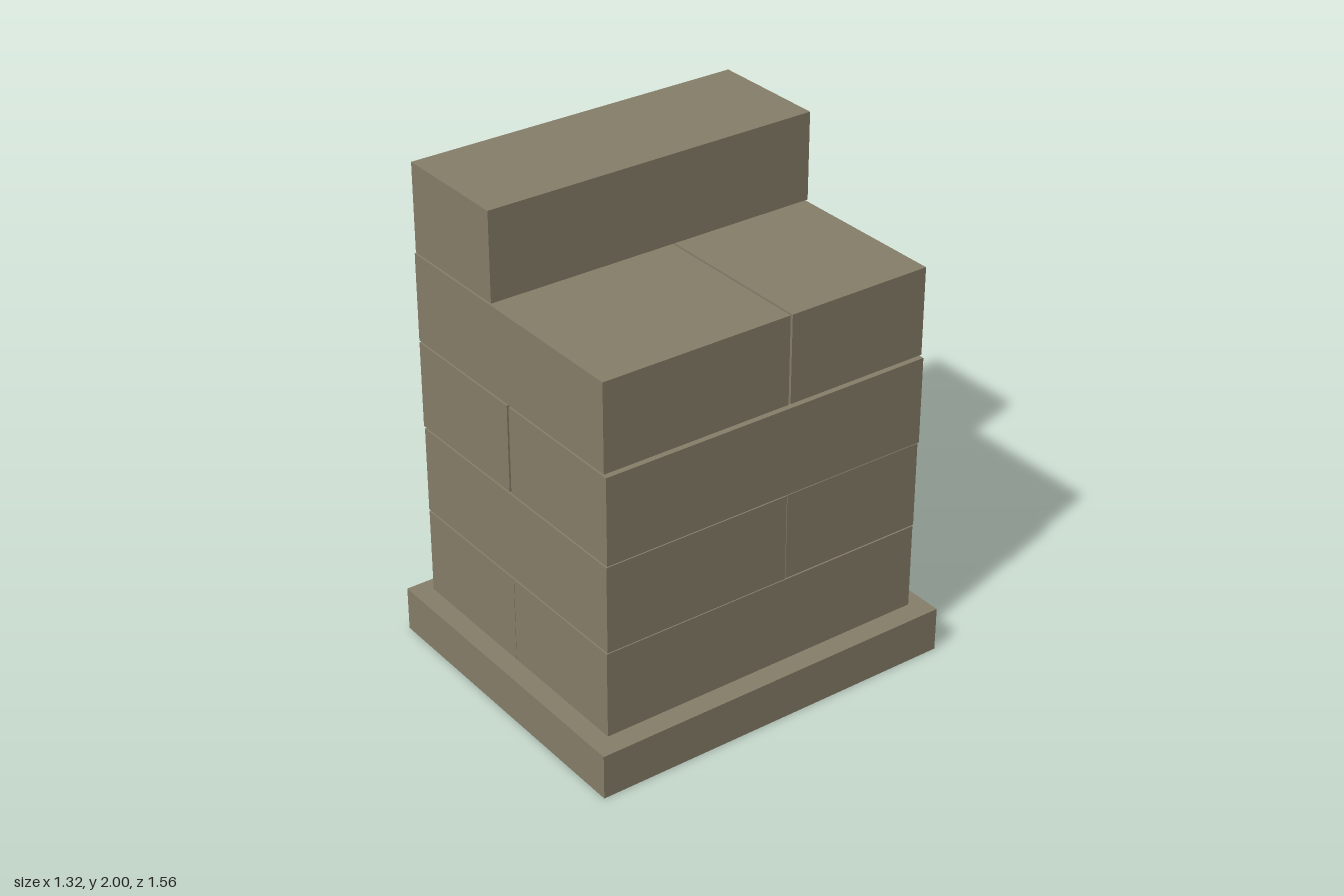
import * as THREE from 'three';

const stone = new THREE.MeshStandardMaterial({ color: 0x867e69, side: THREE.DoubleSide });
stone.name = 'stone';

// Box given by its limits along each axis
function block(name, [x0, x1], [y0, y1], [z0, z1]) {
  const geometry = new THREE.BoxGeometry(x1 - x0, y1 - y0, z1 - z0);
  const mesh = new THREE.Mesh(geometry, stone);
  mesh.name = name;
  mesh.position.set((x0 + x1) / 2, (y0 + y1) / 2, (z0 + z1) / 2);
  return mesh;
}

// Hollow plinth: a box without its bottom face (fourth of six sides)
function openPlinth() {
  const mesh = block('plinth', [-0.66, 0.66], [0, 0.184], [-0.778, 0.778]);
  const index = Array.from(mesh.geometry.index.array);
  index.splice(18, 6);
  mesh.geometry.setIndex(index);
  mesh.geometry.clearGroups();
  return mesh;
}

export function createModel() {
  const model = new THREE.Group();
  model.name = 'brickPier';
  model.add(openPlinth());

  // Each course lists its bricks as [x range, z range]; joints alternate direction
  const depth = [-0.703, 0.703];
  const courses = [
    [[[-0.587, -0.008], depth], [[-0.006, 0.58], depth]],
    [[[-0.588, 0.585], [-0.086, 0.703]], [[-0.588, 0.583], [-0.703, -0.09]]],
    [[[-0.594, -0.014], depth], [[-0.003, 0.59], depth]],
    [[[-0.594, 0.578], [-0.088, 0.703]], [[-0.588, 0.578], [-0.703, -0.097]]],
    [[[-0.585, -0.092], depth]],
  ];
  const height = 0.355, pitch = 0.3633, start = 0.192;
  courses.forEach((bricks, i) => {
    const course = new THREE.Group();
    course.name = `course${i + 1}`;
    const y = start + i * pitch;
    bricks.forEach(([x, z], j) => course.add(block(`brick${j + 1}`, x, [y, y + height], z)));
    model.add(course);
  });
  return model;
}
